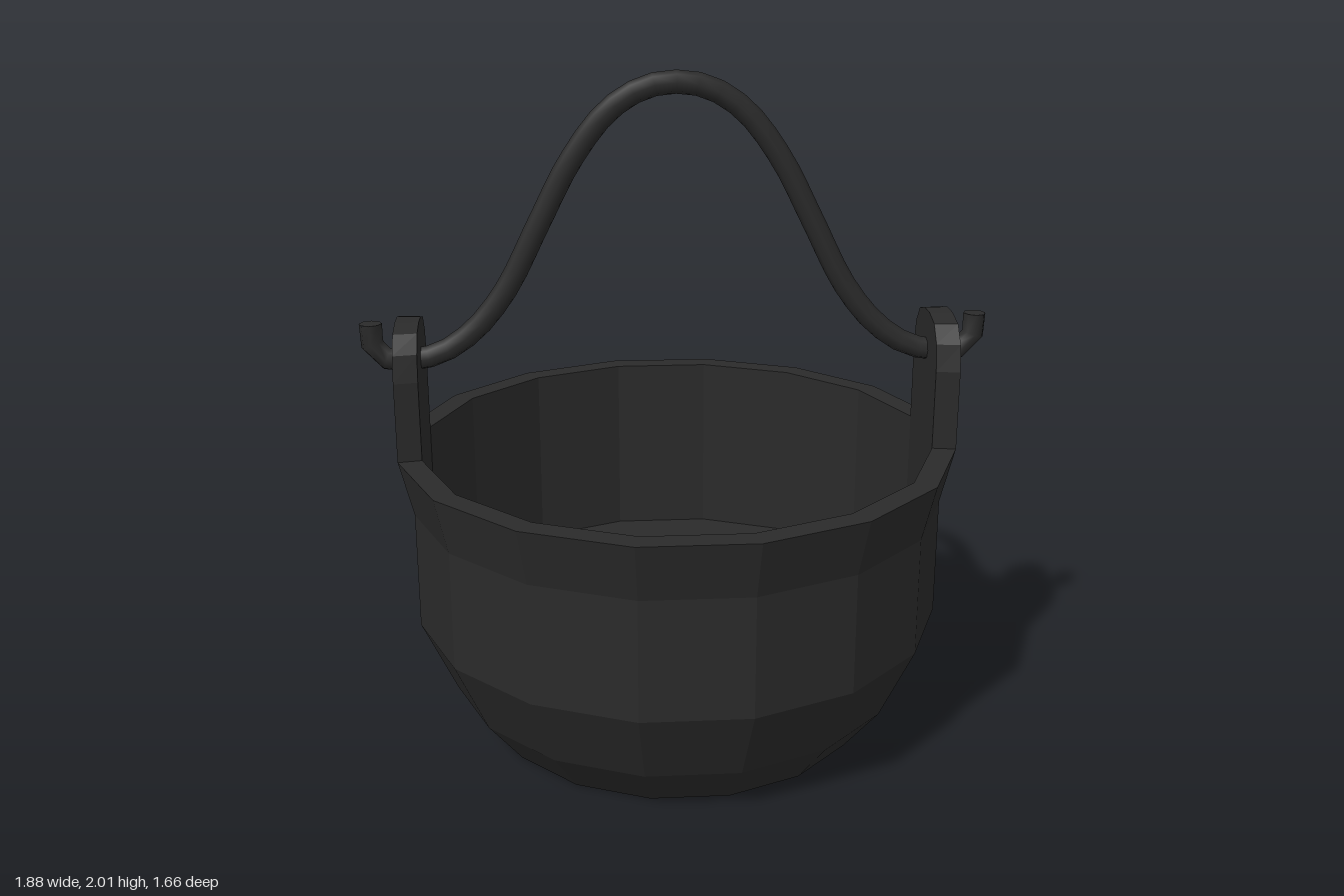
import * as THREE from 'three';
import { toCreasedNormals } from 'three/addons/utils/BufferGeometryUtils.js';

const iron = new THREE.MeshStandardMaterial({ color: 0x2a2a2a });
iron.name = 'cast iron';

const v2 = ([x, y]) => new THREE.Vector2(x, y);

function part(name, geometry) {
  const mesh = new THREE.Mesh(geometry, iron);
  mesh.name = name;
  return mesh;
}

// Sixteen-sided pot: outer wall, flat rim, straight inner wall and floor
function makePot() {
  const profile = [
    [0, 0], [0.59, 0], [0.7, 0.14], [0.805, 0.37], [0.805, 0.73], [0.846, 0.9],
    [0.775, 0.9], [0.775, 0.31], [0, 0.31],
  ].map(v2);
  const geometry = new THREE.LatheGeometry(profile, 16, Math.PI / 16);
  return part('pot', toCreasedNormals(geometry, 0.02));
}

// Round-topped lug on the rim, slightly narrower on its inner face
function makeLug(side) {
  const half = [[0.165, 0.9], [0.165, 1.14], [0.15, 1.22], [0.105, 1.272], [0.035, 1.289]];
  const mirrored = half.map(([x, y]) => [-x, y]).reverse();
  const shape = new THREE.Shape([...half, ...mirrored].map(v2));
  const geometry = new THREE.ExtrudeGeometry(shape, { depth: 0.07, bevelEnabled: false });
  const p = geometry.attributes.position;
  for (let i = 0; i < p.count; i++) {
    if (p.getZ(i) < 0.01) p.setX(i, p.getX(i) * 0.92);
  }
  geometry.translate(0, 0, 0.76);
  geometry.rotateY(side * Math.PI / 2);
  return part(side > 0 ? 'leftLug' : 'rightLug', toCreasedNormals(geometry, 0.02));
}

// Bent rod handle with upturned hooks passing through both lugs
function makeHandle() {
  const radius = 0.034;
  const half = [
    [0.905, 1.278], [0.903, 1.215], [0.875, 1.176], [0.82, 1.164], [0.71, 1.182],
    [0.605, 1.25], [0.505, 1.372], [0.4, 1.575], [0.305, 1.755], [0.19, 1.9], [0.07, 1.966],
  ];
  const path = [...half.map(([x, y]) => [-x, y]), ...half.slice().reverse()];
  const curve = new THREE.CatmullRomCurve3(path.map(([x, y]) => new THREE.Vector3(x, y, 0)));
  const handle = new THREE.Group();
  handle.name = 'handle';
  handle.add(part('handleRod', new THREE.TubeGeometry(curve, 44, radius, 8)));
  for (const side of [-1, 1]) {
    const cap = part('hookEnd', new THREE.CircleGeometry(radius, 8));
    cap.rotation.x = -Math.PI / 2;
    cap.position.set(side * half[0][0], half[0][1], 0);
    handle.add(cap);
  }
  return handle;
}

export function createModel() {
  const model = new THREE.Group();
  model.name = 'cauldron';
  model.add(makePot(), makeLug(1), makeLug(-1), makeHandle());
  return model;
}
